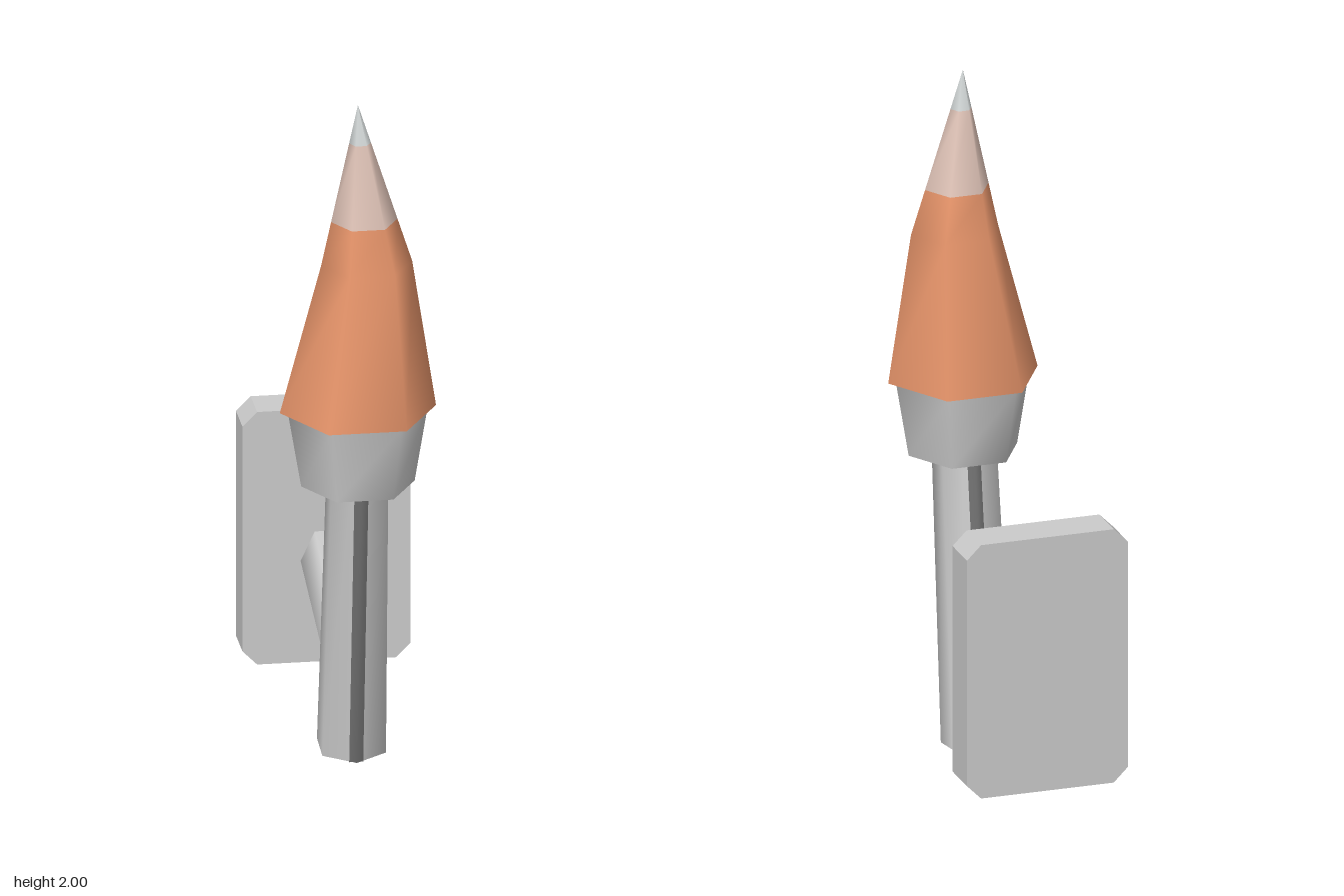
import * as THREE from 'three';

const mat = (name, color, extra = {}) =>
  Object.assign(new THREE.MeshStandardMaterial({ color, ...extra }), { name });

// Point list of a hexagon with corners on the x axis
const hexagon = (rx, rz = rx, cx = 0) =>
  Array.from({ length: 6 }, (_, i) => {
    const a = (i * Math.PI) / 3;
    return [cx + rx * Math.cos(a), rz * Math.sin(a)];
  });

// Skins rings of [x, z] points stacked along y; materialOf(ring, side) picks the material index
function loft(rings, { capStart = false, capEnd = false, materialOf = () => 0 } = {}) {
  const pos = [], index = [], n = rings[0].points.length;
  const geo = new THREE.BufferGeometry();
  const addFace = (m, ...tri) => {
    geo.addGroup(index.length, tri.length, m);
    index.push(...tri);
  };
  for (const { y, points } of rings) for (const [x, z] of points) pos.push(x, y, z);
  for (let i = 0; i < rings.length - 1; i++) {
    for (let j = 0; j < n; j++) {
      const k = (j + 1) % n;
      const a = i * n + j, b = i * n + k, c = b + n, d = a + n;
      addFace(materialOf(i, j), a, d, b, b, d, c);
    }
  }
  const cap = ({ y, points }, up) => {
    const base = pos.length / 3;
    for (const [x, z] of points) pos.push(x, y, z);
    for (let j = 1; j < n - 1; j++) {
      addFace(0, base, base + (up ? j + 1 : j), base + (up ? j : j + 1));
    }
  };
  if (capStart) cap(rings[0], false);
  if (capEnd) cap(rings[rings.length - 1], true);
  geo.setAttribute('position', new THREE.Float32BufferAttribute(pos, 3));
  geo.setIndex(index);
  geo.computeVertexNormals();
  return geo;
}

export function createModel() {
  const model = new THREE.Group();
  model.name = 'wallTorch';
  const metal = mat('metal', 0xcbcbcb);
  const darkMetal = mat('darkMetal', 0x707070);
  const orange = mat('flameOrange', 0xe6946a);
  const pale = mat('flamePale', 0xdfc3b7);
  const white = mat('flameTip', 0xd3d8d8);

  const add = (name, geometry, material, parent = model) => {
    const mesh = new THREE.Mesh(geometry, material);
    mesh.name = name;
    parent.add(mesh);
    return mesh;
  };

  // Flame: skewed hexagonal spike in three colour bands
  const apex = 2, bend = 1.52;
  const flameRing = (y) => {
    const t = (apex - y) / (apex - bend);
    return { y, points: hexagon(0.13 * t, 0.13 * t, 0.025 * t) };
  };
  const flame = add('flame', loft(
    [{ y: 1.08, points: hexagon(0.223) }, ...[bend, 1.65, 1.885, apex].map(flameRing)],
    { capStart: true, materialOf: (i) => Math.max(0, i - 1) },
  ), [orange, pale, white]);
  flame.position.z = 0.27;

  // Cup: flared hexagonal collar, open below
  const cup = add('cup', loft([
    { y: 0.855, points: hexagon(0.162) },
    { y: 1.08, points: hexagon(0.2) },
  ]), [metal]);
  cup.position.z = 0.27;

  // Handle: leaning hexagonal shaft with dark strips along its front and back edges
  const handle = new THREE.Group();
  handle.name = 'handle';
  handle.position.set(0, 0.015, 0.145);
  handle.rotation.x = 0.132;
  model.add(handle);
  const shaftRing = (y, r) => {
    const w = 0.02, s = w / Math.sqrt(3), h = r * Math.sqrt(0.75);
    return { y, points: [
      [h, -r / 2], [h, r / 2], [w, r - s], [0, r], [-w, r - s],
      [-h, r / 2], [-h, -r / 2], [-w, s - r], [0, -r], [w, s - r],
    ] };
  };
  add('shaft', loft([shaftRing(0, 0.105), shaftRing(0.95, 0.093)], {
    capStart: true,
    capEnd: true,
    materialOf: (i, j) => ([2, 3, 7, 8].includes(j) ? 1 : 0),
  }), [metal, darkMetal], handle);
  add('bottomStrip', new THREE.BoxGeometry(0.04, 0.004, 0.19), darkMetal, handle);

  // Bracket: tapered hexagonal arm rising from the handle back to the plate
  const bracket = add('bracket', loft([
    { y: 0, points: hexagon(0.072, 0.08) },
    { y: 0.593, points: hexagon(0.082, 0.096) },
  ], { capStart: true, capEnd: true }), [metal]);
  bracket.position.set(0.007, 0.219, 0.16);
  bracket.rotation.x = -1.237;

  // Wall plate: rectangle with clipped corners
  const w = 0.24, h = 0.382, c = 0.042;
  const outline = new THREE.Shape([
    [w, c - h], [w, h - c], [w - c, h], [c - w, h],
    [-w, h - c], [-w, c - h], [c - w, -h], [w - c, -h],
  ].map(([x, y]) => new THREE.Vector2(x, y)));
  const plate = add('wallPlate',
    new THREE.ExtrudeGeometry(outline, { depth: 0.126, bevelEnabled: false }), metal);
  plate.position.set(0, 0.468, -0.466);

  return model;
}
